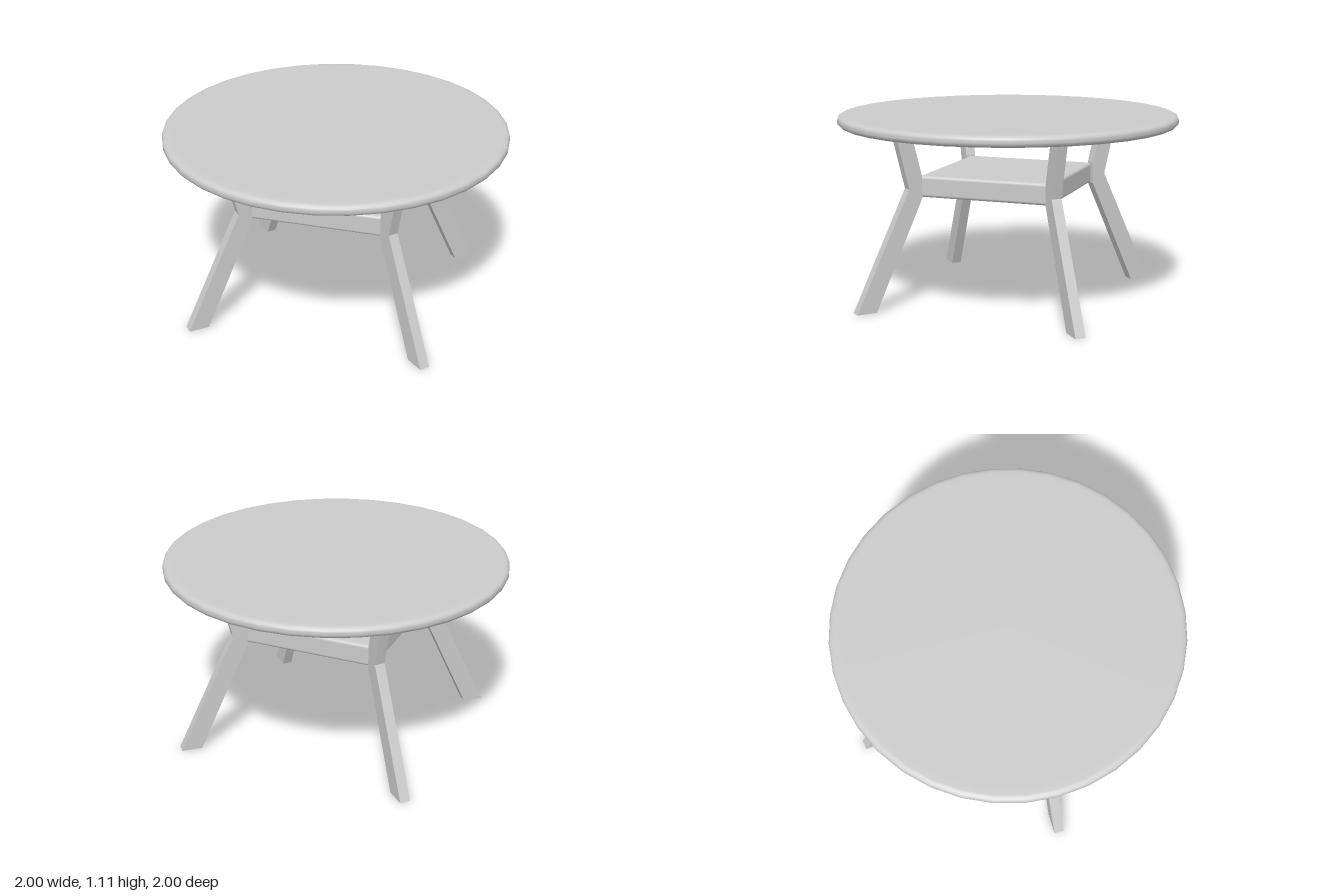
import * as THREE from 'three';
import { RoundedBoxGeometry } from 'three/addons/geometries/RoundedBoxGeometry.js';

const V = (x, y) => new THREE.Vector2(x, y);

export function createModel() {
  const group = new THREE.Group();
  const material = new THREE.MeshStandardMaterial({ color: 0xcccccc });
  const add = (geometry, name) => {
    const mesh = new THREE.Mesh(geometry, material);
    mesh.name = name;
    group.add(mesh);
    return mesh;
  };

  // Round top with a softened rim: 36 sides
  const bottom = 1.043, top = 1.107, rim = 0.025;
  const profile = [V(0, bottom), V(0.93, bottom)];
  const arc = (y, from) => {
    for (let i = 0; i <= 4; i++) {
      const a = from + (i / 4) * Math.PI / 2;
      profile.push(V(1 - rim * 1.4 + rim * 1.4 * Math.cos(a), y + rim * Math.sin(a)));
    }
  };
  arc(bottom + rim, -Math.PI / 2);
  arc(top - rim, 0);
  profile.push(V(0.93, top), V(0, top));
  add(new THREE.LatheGeometry(profile, 36), 'tabletop');

  // Square shelf held between the knees of the legs
  const shelf = new RoundedBoxGeometry(0.8, 0.125, 0.8, 4, 0.018);
  add(shelf, 'shelf').position.y = 0.7075;

  // Bent legs: a side outline extruded to the leg thickness
  const thickness = 0.06;
  const outline = new THREE.Shape([
    V(0.256, 0), V(0.376, 0), V(0.041, 0.7), V(0.128, 1.055),
    V(0.031, 1.055), V(-0.041, 0.77), V(-0.041, 0.645),
  ]);
  const legGeometry = new THREE.ExtrudeGeometry(outline, { depth: thickness, bevelEnabled: false });
  legGeometry.translate(0, 0, -thickness / 2);

  // One leg at each corner, splayed outwards
  const splay = THREE.MathUtils.degToRad(41.3);
  for (const sx of [-1, 1]) {
    for (const sz of [-1, 1]) {
      const leg = add(legGeometry, `${sz > 0 ? 'front' : 'back'}${sx > 0 ? 'Left' : 'Right'}Leg`);
      leg.position.set(sx * 0.428, 0, sz * 0.4225);
      leg.rotation.y = -Math.atan2(sz * Math.sin(splay), sx * Math.cos(splay));
    }
  }
  return group;
}
